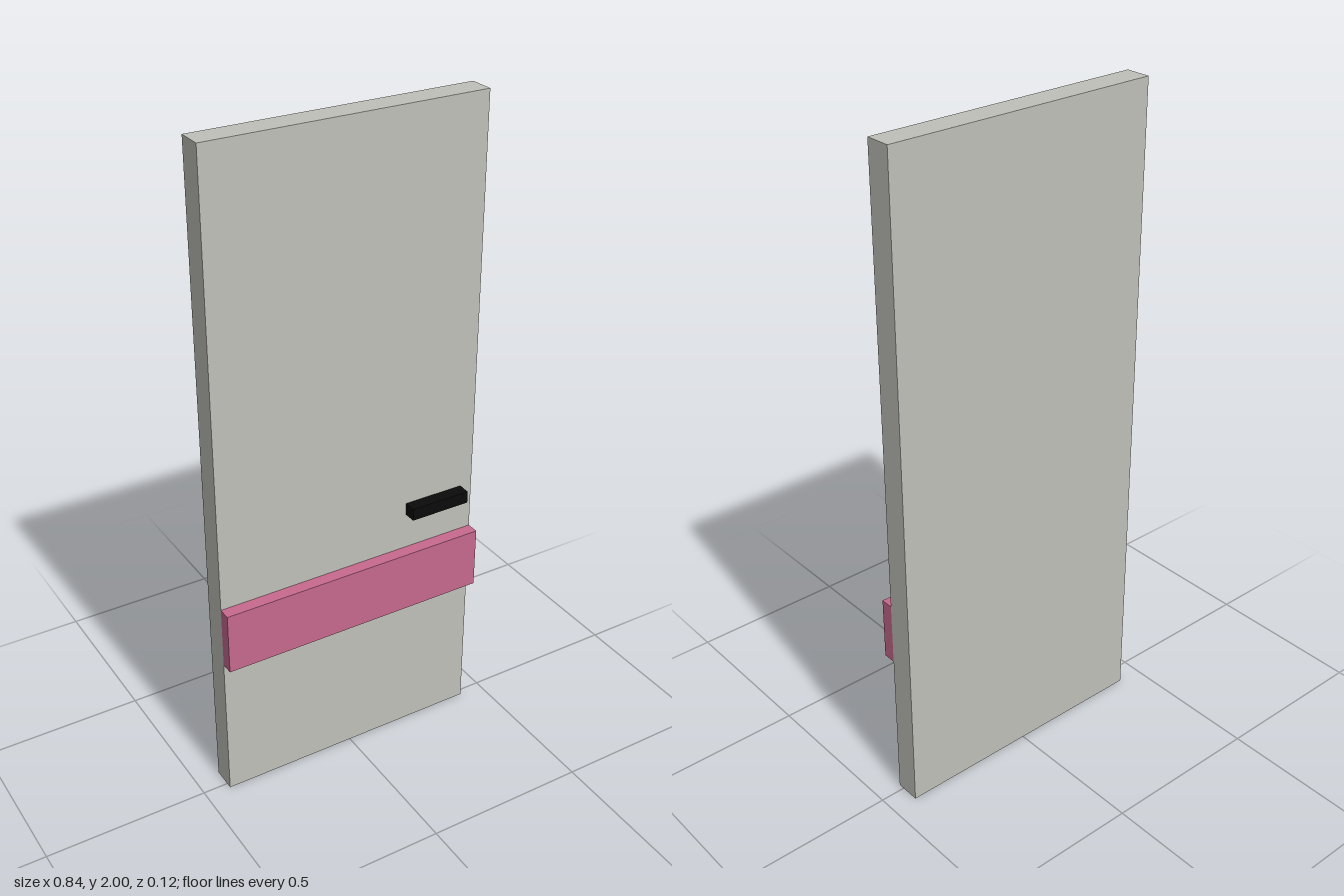
import * as THREE from 'three';

export function createModel() {
  const group = new THREE.Group();
  const mat = (name, color) => {
    const m = new THREE.MeshStandardMaterial({ color });
    m.name = name;
    return m;
  };
  const grey = mat('doorGrey', 0xc0c0ba);
  const pink = mat('bandPink', 0xc7698e);
  const black = mat('handleBlack', 0x0b0b0b);

  // Box given by its two opposite corners
  const box = (name, material, [x0, y0, z0], [x1, y1, z1]) => {
    const mesh = new THREE.Mesh(new THREE.BoxGeometry(x1 - x0, y1 - y0, z1 - z0), material);
    mesh.position.set((x0 + x1) / 2, (y0 + y1) / 2, (z0 + z1) / 2);
    mesh.name = name;
    group.add(mesh);
  };

  // Door leaf
  box('doorPanel', grey, [-0.422, 0, -0.058], [0.422, 2, 0.019]);
  // Raised band across the front
  box('frontBand', pink, [-0.422, 0.465, 0.019], [0.422, 0.657, 0.058]);
  // Handle bar
  box('handle', black, [0.191, 0.771, 0.019], [0.383, 0.809, 0.058]);

  return group;
}
